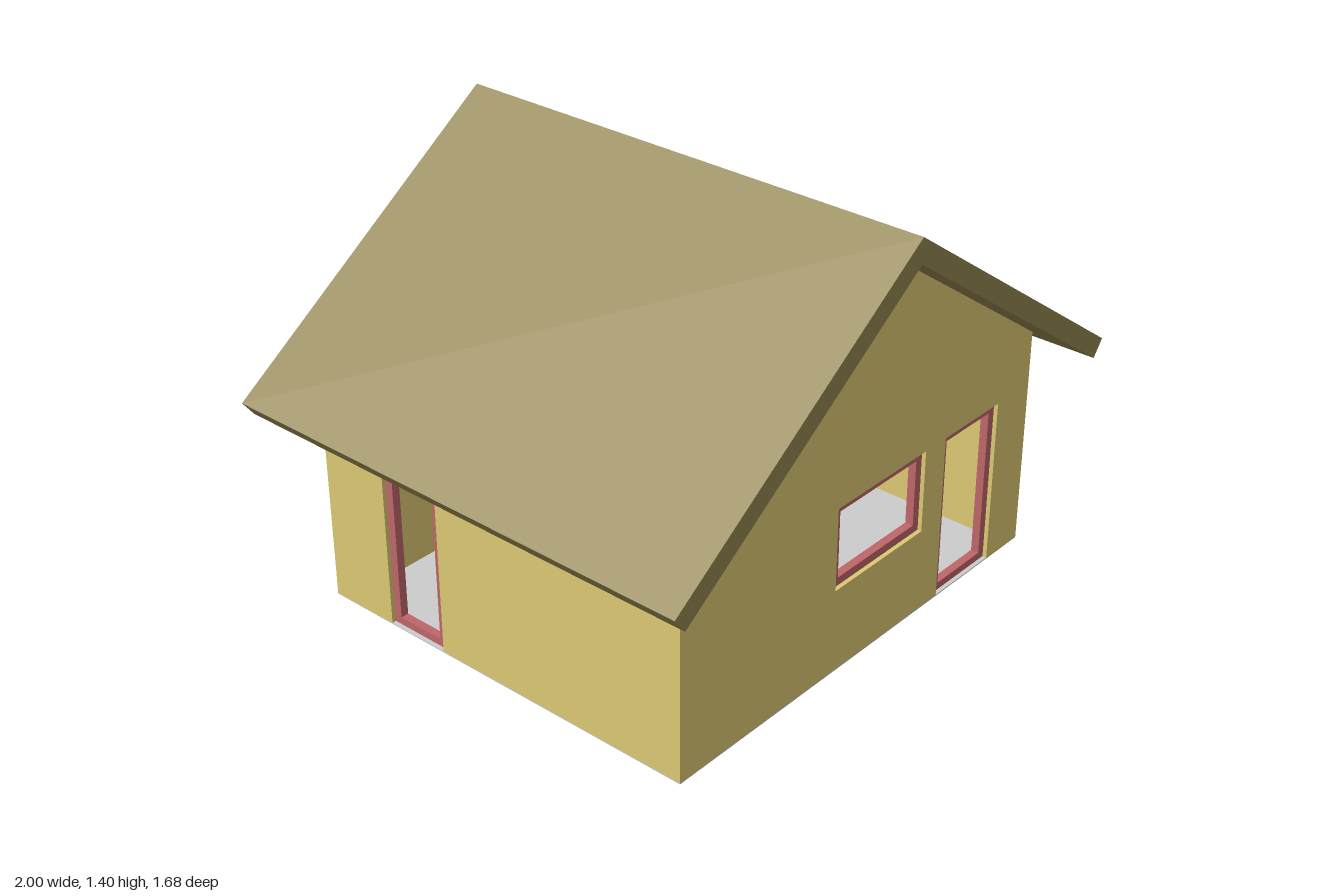
import * as THREE from 'three';

const WALL = 0.055;   // wall thickness
const BAR = 0.027;    // frame bar size
const BASE = 0.002;   // walls start just inside the floor slab
const HX = 0.82, HZ = 0.70;

const mat = (color) => new THREE.MeshStandardMaterial({ color, flatShading: true });
const wallMat = mat(0xdcc973);
const roofMat = mat(0x928550);
const frameMat = mat(0xbf666a);
const floorMat = mat(0xcccccc);

function extrude(name, shape, depth, z, material) {
  const geo = new THREE.ExtrudeGeometry(shape, { depth, bevelEnabled: false });
  const mesh = new THREE.Mesh(geo.translate(0, 0, z), material);
  mesh.name = name;
  return mesh;
}

const toShape = (pts) => new THREE.Shape(pts.map(([x, y]) => new THREE.Vector2(x, y)));
const rect = (x0, y0, x1, y1) => [[x0, y0], [x1, y0], [x1, y1], [x0, y1]];

// Rectangular frame, set in the middle of the wall thickness
function frame(name, [x0, y0, x1, y1], dist) {
  const shape = toShape(rect(x0, y0, x1, y1));
  shape.holes.push(toShape(rect(x0 + BAR, y0 + BAR, x1 - BAR, y1 - BAR)));
  return extrude(name, shape, BAR, dist - WALL / 2 - BAR / 2, frameMat);
}

// Wall facing local +z at a distance from the centre; a door cuts the bottom edge, a window is a hole
function wall(name, half, top, dist, turn, door, window) {
  const [x0, x1, h] = door;
  const shape = toShape([
    [-half, BASE], [x0, BASE], [x0, h], [x1, h], [x1, BASE], [half, BASE], ...top,
  ]);
  const group = new THREE.Group();
  group.name = name;
  if (window) {
    shape.holes.push(toShape(rect(...window)));
    group.add(frame('windowFrame', window, dist));
  }
  group.add(extrude(name + 'Panel', shape, WALL, dist - WALL, wallMat));
  group.add(frame('doorFrame', [x0, BASE, x1, h], dist));
  group.rotation.y = turn;
  return group;
}

export function createModel() {
  const house = new THREE.Group();
  house.name = 'house';

  // Floor slab
  const floor = new THREE.Mesh(new THREE.BoxGeometry(2 * HX, 0.004, 2 * HZ), floorMat);
  floor.position.y = 0.002;
  floor.name = 'floor';
  house.add(floor);

  // Gable walls at front and back
  const gable = [[HX, 0.745], [0, 1.319], [-HX, 0.745]];
  house.add(wall('frontWall', HX, gable, HZ, 0, [0.38, 0.655, 0.563], [-0.14, 0.285, 0.28, 0.563]));
  house.add(wall('backWall', HX, gable, HZ, Math.PI, [-0.363, 0.297, 0.563]));

  // Side walls between the gables, their tops tucked into the roof
  const side = HZ - WALL;
  const eave = [[side, 0.784], [-side, 0.784]];
  house.add(wall('rightSideWall', side, eave, HX, Math.PI / 2, [0.10, 0.323, 0.563]));
  house.add(wall('leftSideWall', side, eave, HX, -Math.PI / 2, [-0.453, -0.23, 0.563]));

  // Pitched roof with overhanging eaves
  const roof = toShape([
    [1, 0.7], [0, 1.4], [-1, 0.7], [-0.96, 0.647], [0, 1.319], [0.96, 0.647],
  ]);
  house.add(extrude('roof', roof, 1.68, -0.84, roofMat));

  return house;
}
